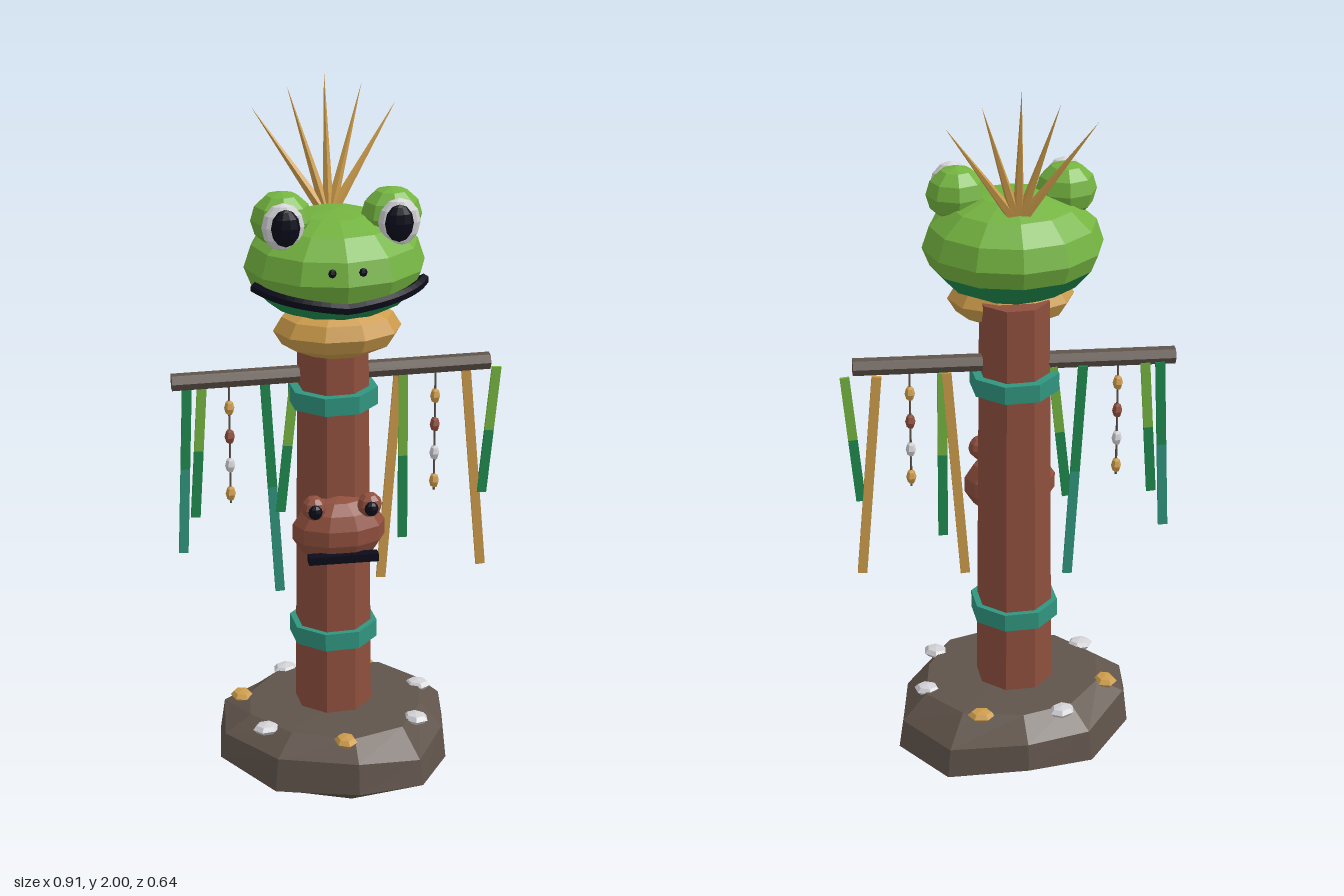
import * as THREE from 'three';

const COLORS = {
  stone: 0x60544b, wood: 0x8f4f3d, teal: 0x30957f, green: 0x74b440, darkGreen: 0x1f8a4e,
  tan: 0xcd9c4c, white: 0xd2d2d6, black: 0x0b0b1a,
};

export function createModel() {
  const root = new THREE.Group();
  root.name = 'frogTotem';
  const mats = {};
  for (const [name, color] of Object.entries(COLORS)) {
    mats[name] = new THREE.MeshStandardMaterial({ color, flatShading: true });
    mats[name].name = name;
  }
  const add = (name, geo, mat, pos = [0, 0, 0], scale = [1, 1, 1]) => {
    const m = new THREE.Mesh(geo, mats[mat]);
    m.name = name;
    m.position.set(...pos);
    m.scale.set(...scale);
    root.add(m);
    return m;
  };
  const ball = (name, mat, pos, radii, w = 8, h = 6) =>
    add(name, new THREE.SphereGeometry(1, w, h), mat, pos, radii);
  const Y = new THREE.Vector3(0, 1, 0);
  // Turns a mesh built along y so that it spans two points
  const span = (mesh, a, b) => {
    const p = new THREE.Vector3(...a), q = new THREE.Vector3(...b);
    mesh.position.copy(p).add(q).multiplyScalar(0.5);
    mesh.quaternion.setFromUnitVectors(Y, q.sub(p).normalize());
    return mesh;
  };
  const dist = (a, b) => new THREE.Vector3(...a).distanceTo(new THREE.Vector3(...b));

  // Rock base: one irregular outline lofted through rings
  const outline = [[-0.02, -0.325], [-0.205, -0.268], [-0.33, -0.11], [-0.35, 0.065], [-0.22, 0.235],
    [0, 0.32], [0.19, 0.255], [0.29, 0.08], [0.322, -0.13], [0.2, -0.28]];
  const rings = [[0.001, 0], [0.6, 0.015], [1, 0.085], [0.96, 0.17], [0.75, 0.228], [0.001, 0.238]];
  const pos = [], idx = [], n = outline.length;
  rings.forEach(([s, y], r) => outline.forEach(([x, z], i) => {
    const wobble = r > 0 && r < 4 ? 0.014 * Math.sin(i * 2.3 + r) - x * 0.05 : 0;
    pos.push(x * s, Math.max(0, y + wobble), z * s);
    if (r === 0) return;
    const a = (r - 1) * n + i, b = (r - 1) * n + (i + 1) % n, c = a + n, d = b + n;
    idx.push(a, b, d, a, d, c);
  }));
  // The outline runs counter-clockwise from above, so outward faces follow this order
  const rock = new THREE.BufferGeometry();
  rock.setAttribute('position', new THREE.Float32BufferAttribute(pos, 3));
  rock.setIndex(idx);
  rock.computeVertexNormals();
  add('rockBase', rock, 'stone');

  // Pebbles scattered on the rock
  [[-0.125, -0.225, 'white'], [0.1, -0.222, 'tan'], [-0.27, -0.08, 'tan'], [0.235, -0.065, 'white'],
    [-0.23, 0.13, 'white'], [0.19, 0.138, 'white'], [-0.025, 0.24, 'tan']].forEach(([x, z, mat], i) => {
    const p = ball('pebble', mat, [x, 0.224, z], [0.038, 0.016, 0.032], 6, 4);
    p.rotation.y = Math.atan2(x, z) + i * 0.3;
  });

  // Post with two bands
  const cx = -0.018, cz = -0.014;
  const post = add('post', new THREE.CylinderGeometry(0.096, 0.108, 1.16, 8), 'wood', [cx, 0.8, cz]);
  post.rotation.y = Math.PI / 8 + 0.06;
  for (const y of [0.457, 1.15]) {
    const band = add('band', new THREE.CylinderGeometry(0.123, 0.123, 0.05, 8), 'teal', [cx, y, cz]);
    band.rotation.y = Math.PI / 8 + 0.06;
  }

  // Crossbar
  const barA = [-0.453, 1.2, -0.028], barB = [0.417, 1.212, -0.028];
  span(add('crossbar', new THREE.CylinderGeometry(0.024, 0.024, dist(barA, barB), 6), 'stone'), barA, barB);

  // Hanging ribbons, each an upper and a lower half: top x, bottom x, bottom y, colours
  [[-0.41, -0.43, 0.695, 'darkGreen', 'teal'], [-0.37, -0.395, 0.8, 'green', 'darkGreen'],
    [-0.2, -0.163, 0.56, 'darkGreen', 'teal'], [-0.118, -0.16, 0.8, 'green', 'darkGreen'],
    [0.168, 0.122, 0.58, 'tan', 'tan'], [0.18, 0.182, 0.7, 'green', 'darkGreen'],
    [0.355, 0.407, 0.6, 'tan', 'tan'], [0.44, 0.405, 0.82, 'green', 'darkGreen'],
  ].forEach(([x0, x1, y1, upper, lower], i) => {
    const z = -0.044 + (i % 2) * 0.004;
    const a = [x0, 1.188, z], c = [x1, y1, z];
    const b = a.map((v, k) => (v + c[k]) / 2);
    for (const [p, q, mat] of [[a, b, upper], [b, c, lower]]) {
      span(add('ribbon', new THREE.BoxGeometry(0.026, dist(p, q), 0.008), mat), p, q);
    }
  });

  // Bead strings
  for (const x of [-0.3, 0.265]) {
    add('beadString', new THREE.CylinderGeometry(0.003, 0.003, 0.35, 4), 'stone', [x, 1.02, -0.018]);
    ['tan', 'wood', 'white', 'tan'].forEach((mat, i) =>
      ball('bead', mat, [x, 1.122 - i * 0.083, -0.018], [0.014, 0.022, 0.02], 6, 4));
  }

  // Small carved frog on the post
  ball('smallFrogBody', 'wood', [cx, 0.79, 0.08], [0.13, 0.096, 0.085], 10, 7);
  for (const s of [-1, 1]) {
    const x = cx + s * 0.076;
    ball('smallFrogEye', 'wood', [x, 0.877, 0.13], [0.034, 0.034, 0.034], 8, 6);
    ball('smallFrogPupil', 'black', [x, 0.875, 0.158], [0.019, 0.021, 0.013], 8, 6);
  }
  add('smallFrogMouth', new THREE.BoxGeometry(0.19, 0.022, 0.03), 'black', [cx, 0.736, 0.154]);

  // Large head: upper and lower shells share one rim
  const lathe = (name, pts, mat) => add(name,
    new THREE.LatheGeometry(pts.map(p => new THREE.Vector2(...p)), 12), mat, [cx, 0, 0.015], [1, 1, 0.92]);
  lathe('headLower', [[0, 1.385], [0.11, 1.393], [0.178, 1.425], [0.222, 1.475]], 'darkGreen');
  lathe('headUpper', [[0.222, 1.475], [0.242, 1.525], [0.222, 1.585], [0.165, 1.635], [0.09, 1.663], [0, 1.672]], 'green');
  ball('throat', 'tan', [cx, 1.36, 0.06], [0.172, 0.076, 0.13], 10, 6);

  // Wide mouth wrapping the front of the head
  const mouth = [];
  for (let i = 0; i <= 12; i++) {
    const t = -1.2 + i * 0.2, k = Math.abs(t) / 1.2;
    mouth.push(new THREE.Vector3(cx + 0.24 * Math.sin(t), 1.466 + 0.028 * k, 0.018 + 0.215 * Math.cos(t)));
  }
  add('mouth', new THREE.TubeGeometry(new THREE.CatmullRomCurve3(mouth), 24, 0.015, 6), 'black');

  // Eyes and nostrils
  for (const s of [-1, 1]) {
    const x = cx + s * 0.145;
    ball('eyeBall', 'green', [x, 1.66, 0.047], [0.082, 0.075, 0.078], 8, 6);
    ball('eyeWhite', 'white', [x + s * 0.007, 1.66, 0.122], [0.056, 0.064, 0.024], 10, 6);
    ball('pupil', 'black', [x + s * 0.003, 1.662, 0.143], [0.038, 0.05, 0.017], 10, 6);
    ball('nostril', 'black', [cx + s * 0.04, 1.56, 0.222], [0.011, 0.012, 0.009], 6, 4);
  }

  // Fan of crest spikes
  [[-0.212, 1.91], [-0.115, 1.96], [-0.016, 2], [0.084, 1.96], [0.177, 1.91]].forEach(([x, y]) => {
    const a = [cx + (x - cx) * 0.06, 1.635, -0.092], b = [x, y, -0.165];
    span(add('crestSpike', new THREE.ConeGeometry(0.016, dist(a, b), 5), 'tan'), a, b);
  });
  return root;
}
